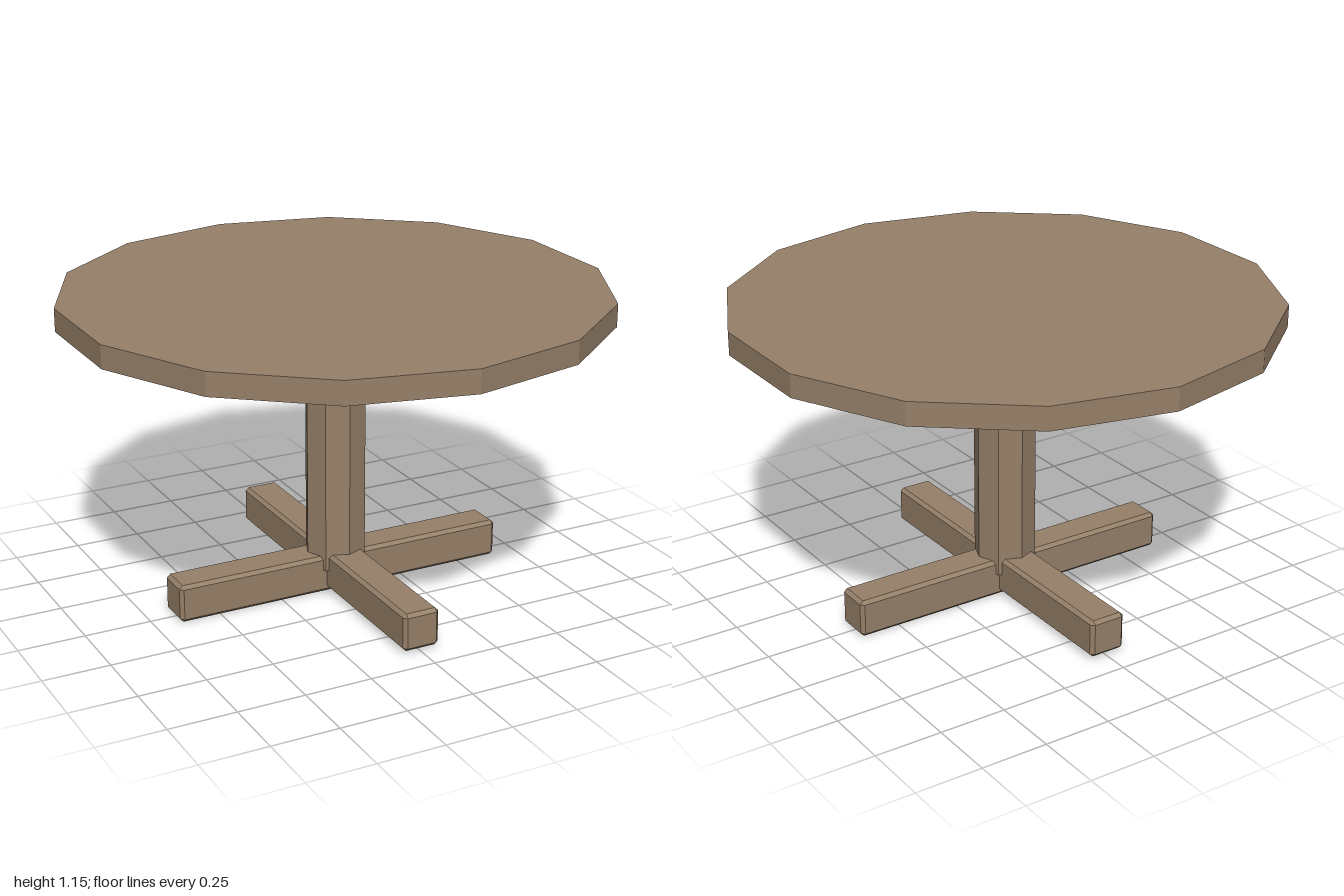
import * as THREE from 'three';
import { ConvexGeometry } from 'three/addons/geometries/ConvexGeometry.js';

// Box with a flat chamfer c along every edge
function chamferedBox(w, h, d, c) {
  const points = [];
  for (const sx of [-1, 1]) for (const sy of [-1, 1]) for (const sz of [-1, 1]) {
    const [x, y, z] = [sx * w / 2, sy * h / 2, sz * d / 2];
    points.push(
      new THREE.Vector3(x, y - sy * c, z - sz * c),
      new THREE.Vector3(x - sx * c, y, z - sz * c),
      new THREE.Vector3(x - sx * c, y - sy * c, z)
    );
  }
  return new ConvexGeometry(points);
}

export function createModel() {
  const group = new THREE.Group();
  const wood = new THREE.MeshStandardMaterial({ color: 0x968069, flatShading: true });
  wood.name = 'brownWood';

  const add = (name, geometry, y) => {
    const mesh = new THREE.Mesh(geometry, wood);
    mesh.name = name;
    mesh.position.y = y;
    group.add(mesh);
    return mesh;
  };

  // Fourteen-sided top and eight-sided column
  add('tableTop', new THREE.CylinderGeometry(1, 1, 0.085, 14), 1.107);
  add('column', new THREE.CylinderGeometry(0.115, 0.115, 0.98, 8), 0.58);

  // Crossed feet, one set slightly higher than the other
  add('footBeamAcross', chamferedBox(1.316, 0.143, 0.14, 0.013), 0.0715);
  add('footBeamLengthwise', chamferedBox(0.14, 0.143, 1.316, 0.013), 0.083);

  return group;
}
